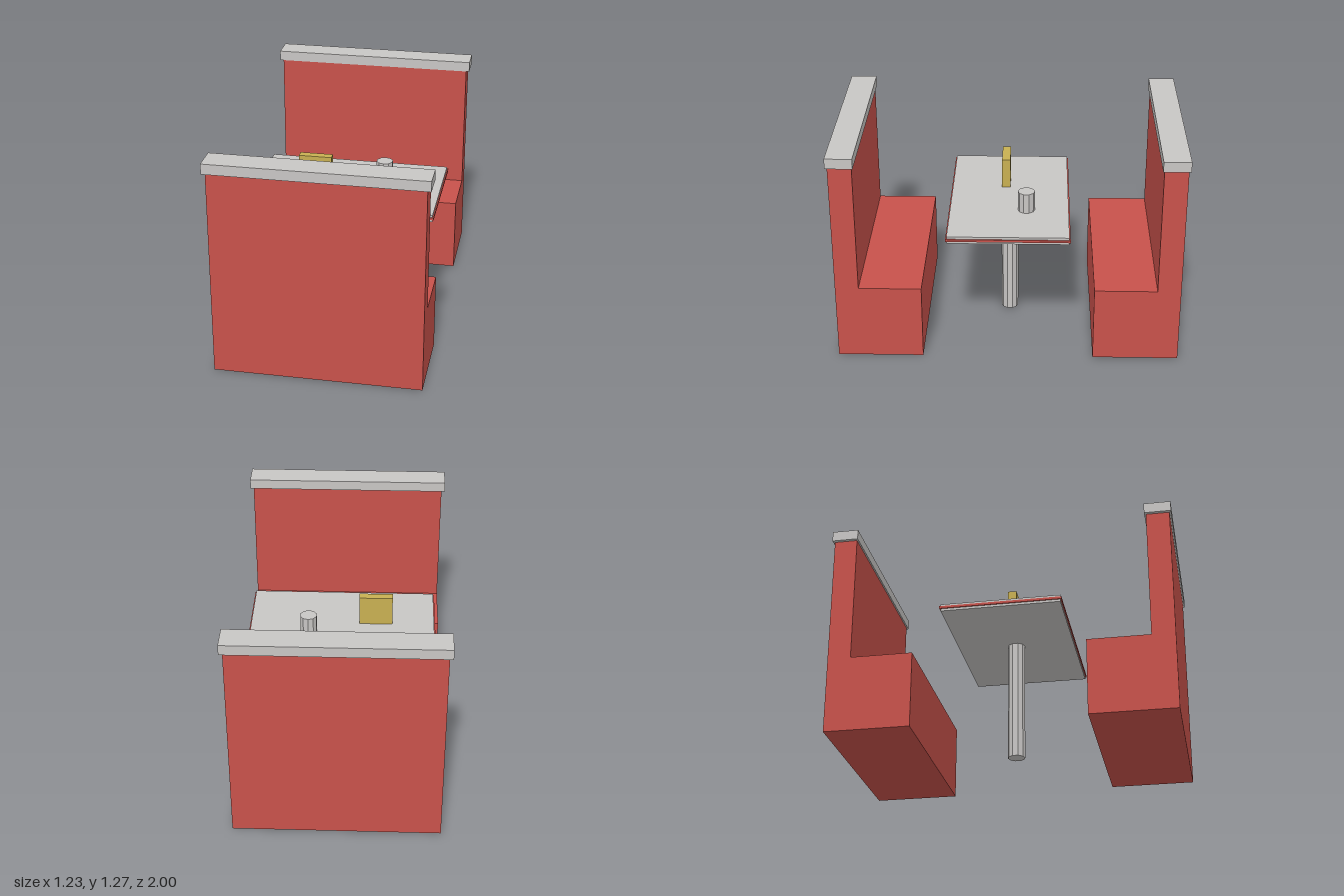
import * as THREE from 'three';

export function createModel() {
  const red = new THREE.MeshStandardMaterial({ name: 'red vinyl', color: 0xc8524b });
  const grey = new THREE.MeshStandardMaterial({ name: 'pale grey', color: 0xc8c6c4 });
  const gold = new THREE.MeshStandardMaterial({ name: 'mustard card', color: 0xc8b052 });
  const model = new THREE.Group();
  model.name = 'diningBooth';

  const add = (parent, name, geometry, material, x, y, z) => {
    const mesh = new THREE.Mesh(geometry, material);
    mesh.name = name;
    mesh.position.set(x, y, z);
    parent.add(mesh);
    return mesh;
  };
  // Box and faceted cylinder standing on height y
  const box = (parent, name, material, w, h, d, x, y, z) =>
    add(parent, name, new THREE.BoxGeometry(w, h, d), material, x, y + h / 2, z);
  const column = (parent, name, r, h, x, y, z) => {
    const geometry = new THREE.CylinderGeometry(r, r, h, 10).toNonIndexed();
    geometry.computeVertexNormals();
    return add(parent, name, geometry, grey, x, y + h / 2, z);
  };

  // L-shaped bench side profile: shape x becomes depth z
  const profile = new THREE.Shape([
    [0.495, 0], [0.99, 0], [0.99, 1.21], [0.855, 1.21], [0.855, 0.447], [0.495, 0.447],
  ].map(([z, y]) => new THREE.Vector2(z, y)));
  const benchWidth = 1.186;
  const benchGeometry = new THREE.ExtrudeGeometry(profile, { depth: benchWidth, bevelEnabled: false });
  benchGeometry.translate(0, 0, -benchWidth / 2).rotateY(-Math.PI / 2);

  // Two benches facing each other
  for (const [name, angle] of [['frontBench', 0], ['backBench', Math.PI]]) {
    const bench = new THREE.Group();
    bench.name = name;
    add(bench, 'seatAndBackrest', benchGeometry, red, 0, 0, 0);
    box(bench, 'backrestCap', grey, 1.226, 0.06, 0.154, 0, 1.21, 0.923);
    bench.rotation.y = angle;
    model.add(bench);
  }

  // Table on a single post, with a red edge band
  const table = new THREE.Group();
  table.name = 'table';
  column(table, 'tablePost', 0.051, 0.72, 0, 0, 0);
  box(table, 'tableTop', grey, 1.092, 0.042, 0.695, 0, 0.72, 0);
  box(table, 'tableEdgeBand', red, 1.106, 0.014, 0.709, 0, 0.734, 0);
  model.add(table);

  // Items on the table
  box(model, 'menuCard', gold, 0.197, 0.18, 0.05, -0.198, 0.762, 0.025);
  column(model, 'cup', 0.05, 0.12, 0.197, 0.762, -0.1);

  return model;
}
